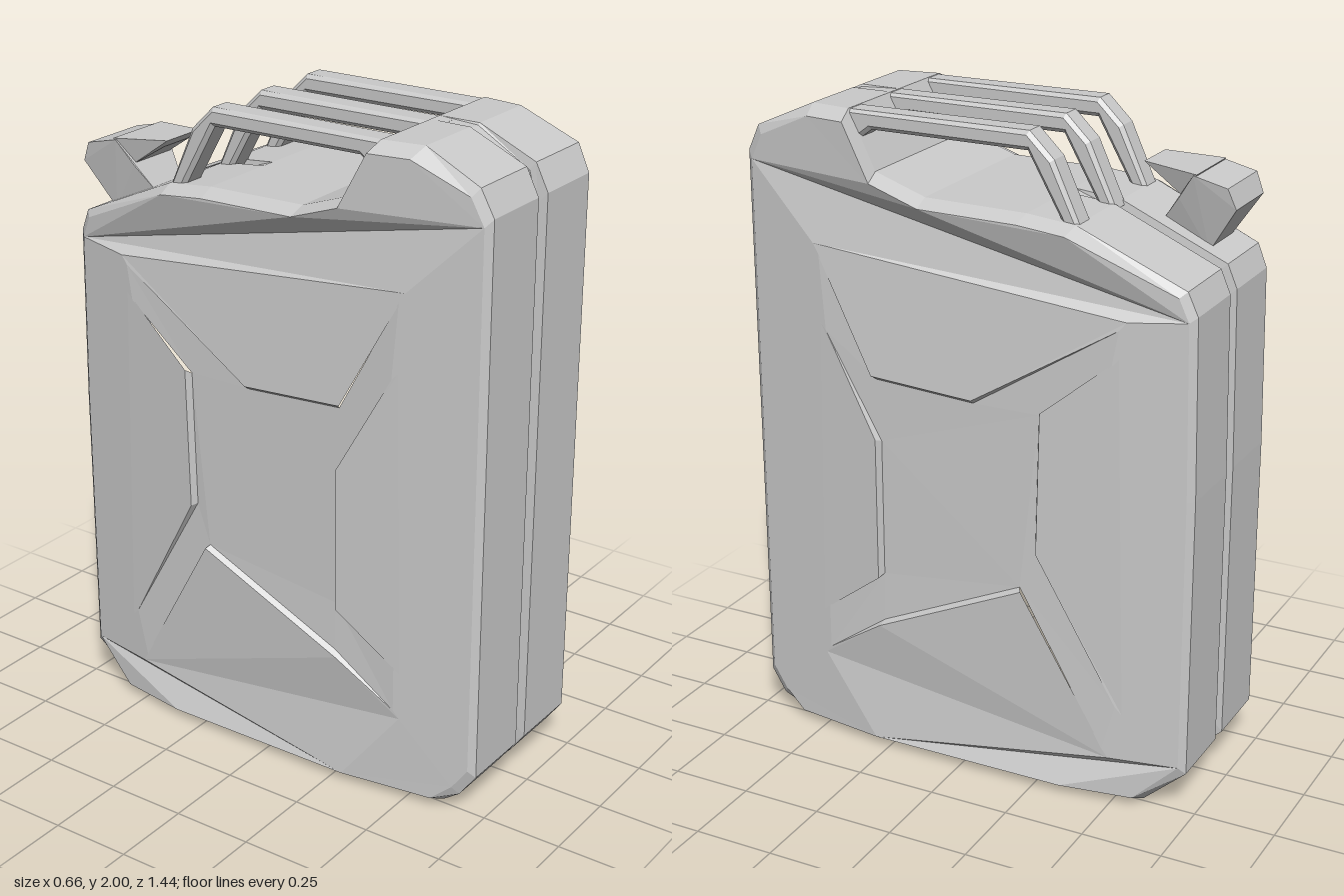
import * as THREE from 'three';
import { ConvexGeometry } from 'three/addons/geometries/ConvexGeometry.js';

// Side outline of the can as [z, y, depth of the centre seam]
const OUTLINE = [
  [0.72, 0.13, 0.04], [0.72, 1.0, 0.04], [0.72, 1.84, 0.04], [0.68, 1.92, 0.025], [0.5, 2.0, 0.006],
  [0.37, 2.0, 0], [0.28, 1.83, 0], [0.12, 1.775, 0], [-0.2, 1.77, 0],
  [-0.35, 1.755, 0.04], [-0.68, 1.61, 0.04], [-0.71, 1.54, 0.04], [-0.72, 1.0, 0.04],
  [-0.72, 0.13, 0.04], [-0.58, 0, 0], [-0.35, 0, 0], [0.3, 0, 0], [0.6, 0, 0], [0.67, 0.06, 0.02],
];

// Pressed X on each side as [z, y, depth]; the arms fade out at their tips
const CROSS = [
  [0.48, 1.6, 0], [0.28, 1.23, 0.02], [-0.05, 1.21, 0.02], [-0.52, 1.51, 0],
  [-0.5, 1.4, 0], [-0.27, 1.21, 0.02], [-0.26, 0.77, 0.02], [-0.53, 0.3, 0],
  [-0.49, 0.15, 0], [-0.21, 0.64, 0.015], [0.27, 0.42, 0.015], [0.48, 0.27, 0],
  [0.48, 0.42, 0], [0.27, 0.58, 0.02], [0.27, 1.03, 0.02], [0.46, 1.36, 0],
];

// Half width of the can, narrowing toward front and back
function halfWidth(z) {
  if (z > 0.3) return 0.33 - 0.06 * (z - 0.3) / 0.42;
  if (z < -0.35) return 0.33 - 0.06 * (-0.35 - z) / 0.37;
  return 0.33;
}

// Flat-shaded geometry from a list of triangles
function fromTriangles(tris) {
  const geo = new THREE.BufferGeometry().setFromPoints(tris.flat());
  geo.computeVertexNormals();
  return geo;
}

// Outline shrunk about the middle of the can, placed at x(z)
function loop(shrink, x) {
  return OUTLINE.map(([z, y, d]) => {
    const k = 1 - shrink(d);
    return new THREE.Vector3(x(z * k), 1 + (y - 1) * k, z * k);
  });
}

// Wrap-around skin with the seam groove and bevelled rims
function shellGeometry() {
  const rim = (z) => halfWidth(z) - (Math.abs(z) > 0.66 ? 0.015 : 0.055);
  const half = (s) => [
    loop((d) => d, () => s * 0.02),
    loop(() => 0, () => s * 0.025),
    loop(() => 0, (z) => s * rim(z)),
    loop(() => 0.027, (z) => s * halfWidth(z)),
  ];
  const loops = [...half(-1).reverse(), ...half(1)];
  const tris = [];
  for (let i = 0; i < loops.length - 1; i++) {
    for (let j = 0; j < OUTLINE.length; j++) {
      const n = (j + 1) % OUTLINE.length;
      const a = loops[i][j], b = loops[i + 1][j], c = loops[i + 1][n], d = loops[i][n];
      tris.push([a, b, c], [a, c, d]);
    }
  }
  return fromTriangles(tris);
}

// Side wall with the pressed X; s is +1 for left and -1 for right
function sideGeometry(s) {
  const tris = [];
  const add = (a, b, c) => {
    const nx = (b.y - a.y) * (c.z - a.z) - (b.z - a.z) * (c.y - a.y);
    tris.push(nx * s > 0 ? [a, b, c] : [a, c, b]);
  };
  const flat = (pts) => pts.map((p) => new THREE.Vector2(-p.z, p.y));
  const fill = (outer, holes) => {
    const all = [outer, ...holes].flat();
    for (const [a, b, c] of THREE.ShapeUtils.triangulateShape(flat(outer), holes.map(flat))) {
      add(all[a], all[b], all[c]);
    }
  };
  const rim = loop(() => 0.027, (z) => s * halfWidth(z));
  const edge = CROSS.map(([z, y]) => new THREE.Vector3(s * halfWidth(z), y, z));
  const floor = CROSS.map(([z, y, d]) =>
    new THREE.Vector3(s * (halfWidth(z * 0.96) - d), 0.87 + (y - 0.87) * 0.96, z * 0.96));

  fill(rim, [edge]);
  fill(floor, []);
  edge.forEach((p, i) => {
    const n = (i + 1) % edge.length;
    add(p, edge[n], floor[n]);
    add(p, floor[n], floor[i]);
  });
  return fromTriangles(tris);
}

// One carrying bar, bent down to the shoulder at the back
function handleGeometry(width) {
  const path = [[0.42, 1.998], [-0.2, 1.998], [-0.275, 1.925], [-0.36, 1.74],
    [-0.31, 1.74], [-0.195, 1.942], [0.3, 1.945], [0.36, 1.9]];
  const shape = new THREE.Shape(path.map(([z, y]) => new THREE.Vector2(-z, y)));
  const bevel = 0.012;
  const geo = new THREE.ExtrudeGeometry(shape, {
    depth: width - 2 * bevel, bevelThickness: bevel, bevelSize: bevel,
    bevelOffset: -bevel, bevelSegments: 1,
  });
  geo.translate(0, 0, bevel - width / 2);
  geo.rotateY(Math.PI / 2);
  return geo;
}

// Convex solid, symmetric in x, from [half width, y, z]
function mirroredHull(points) {
  return new ConvexGeometry(points.flatMap(([x, y, z]) =>
    [new THREE.Vector3(x, y, z), new THREE.Vector3(-x, y, z)]));
}

export function createModel() {
  const model = new THREE.Group();
  model.name = 'fuelCan';
  const paint = new THREE.MeshStandardMaterial({ color: 0xcacaca });
  paint.name = 'light grey';

  const part = (name, geometry, parent = model) => {
    const mesh = new THREE.Mesh(geometry, paint);
    mesh.name = name;
    parent.add(mesh);
    return mesh;
  };

  // Can body
  part('shell', shellGeometry());
  part('leftSide', sideGeometry(1));
  part('rightSide', sideGeometry(-1));

  // Three carrying bars
  const bar = handleGeometry(0.085);
  [['rightHandle', -0.227], ['middleHandle', -0.002], ['leftHandle', 0.227]]
    .forEach(([name, x]) => { part(name, bar).position.x = x; });

  // Filler cap, set to the right of the seam
  const cap = new THREE.Group();
  cap.name = 'fillerCap';
  cap.position.x = -0.152;
  model.add(cap);
  part('capHead', mirroredHull([
    [0.06, 1.69, -0.45], [0.07, 1.62, -0.6], [0.105, 1.76, -0.69], [0.112, 1.82, -0.665],
    [0.112, 1.845, -0.56], [0.09, 1.77, -0.51],
  ]), cap);
  part('capLever', mirroredHull([
    [0.11, 1.848, -0.57], [0.075, 1.86, -0.395], [0.06, 1.835, -0.42], [0.08, 1.765, -0.53],
  ]), cap);

  return model;
}
